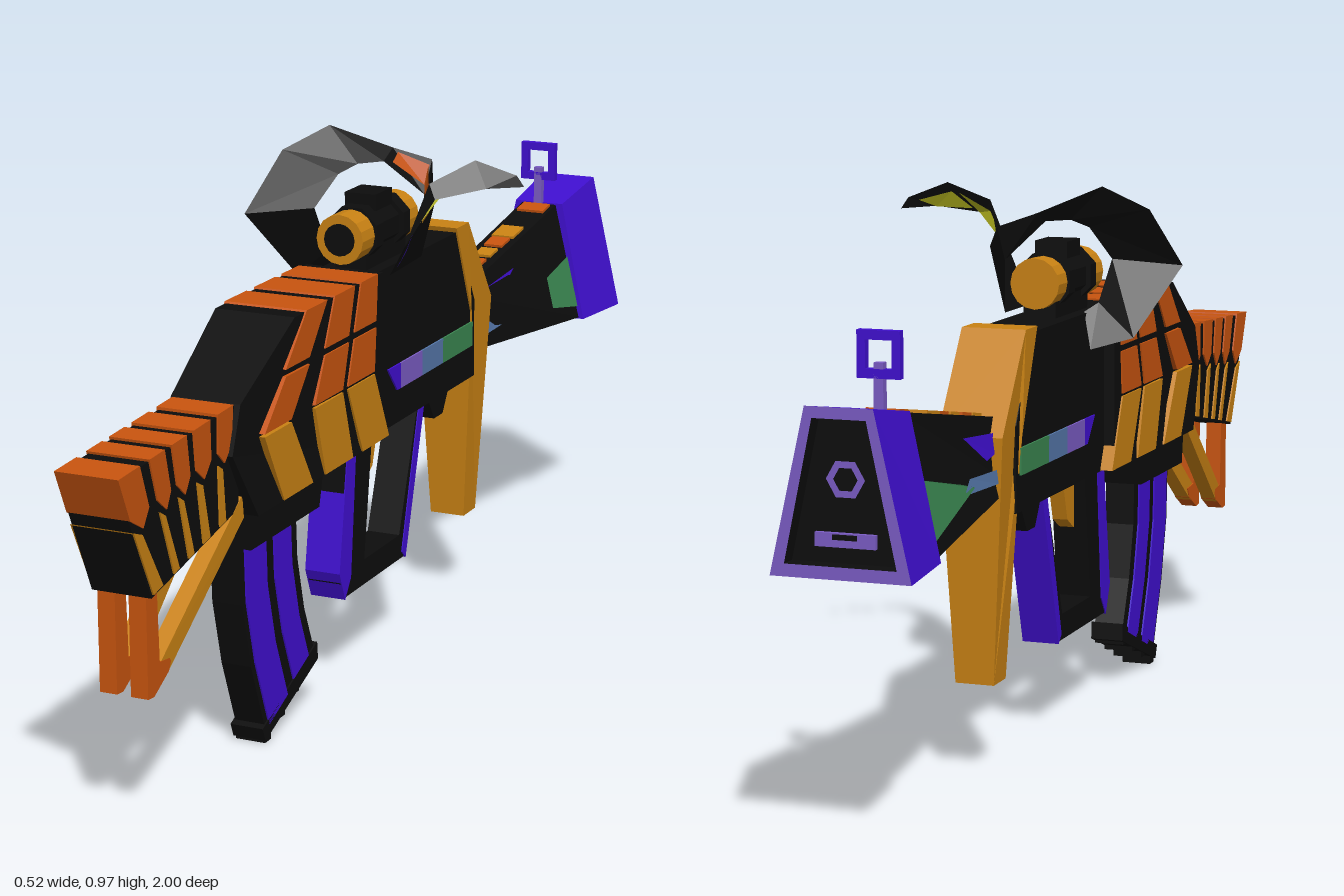
import * as THREE from 'three';

const CX = -0.055; // centre plane of the body
const mat = (name, color, side = THREE.FrontSide) => {
  const m = new THREE.MeshStandardMaterial({ color, side, flatShading: true });
  m.name = name;
  return m;
};

export function createModel() {
  const root = new THREE.Group();
  const D = THREE.DoubleSide;
  const black = mat('black', 0x0d0d0d, D), orange = mat('orange', 0xc8540f, D), gold = mat('gold', 0xc98214, D);
  const purple = mat('purple', 0x400fd0, D), lavender = mat('lavender', 0x7b5cc4, D), blue = mat('blue', 0x5577aa, D);
  const green = mat('green', 0x3a8650, D), yellow = mat('yellow', 0xbcbc20, D);

  const add = (name, geo, m, parent = root) => {
    const mesh = new THREE.Mesh(geo, m);
    mesh.name = name;
    parent.add(mesh);
    return mesh;
  };
  const toShape = (pts) => new THREE.Shape(pts.map((p) => new THREE.Vector2(p[0], p[1])));

  // Side profile given as (z, y), extruded to half width hw about cx; rule may move vertices
  const slab = (name, pts, hw, m, { cx = CX, hole, rule } = {}) => {
    const s = toShape(pts);
    if (hole) s.holes.push(new THREE.Path(hole.map((p) => new THREE.Vector2(p[0], p[1]))));
    const g = new THREE.ExtrudeGeometry(s, { depth: 2 * hw, bevelEnabled: false });
    g.translate(0, 0, -hw).rotateY(-Math.PI / 2);
    if (rule) {
      const p = g.attributes.position;
      for (let i = 0; i < p.count; i++) p.setX(i, rule(p.getX(i), p.getY(i), p.getZ(i)));
      g.computeVertexNormals();
    }
    g.translate(cx, 0, 0);
    return add(name, g, m);
  };
  const box = (name, w, h, d, x, y, z, m) => add(name, new THREE.BoxGeometry(w, h, d).translate(x, y, z), m);

  // Flat faces from quads of four points
  const quads = (name, list, m) => {
    const v = [];
    list.forEach(([a, b, c, d]) => v.push(...a, ...b, ...c, ...a, ...c, ...d));
    const g = new THREE.BufferGeometry();
    g.setAttribute('position', new THREE.Float32BufferAttribute(v, 3));
    g.computeVertexNormals();
    return add(name, g, m);
  };

  // Body: wide striped half and narrower plain half
  slab('frontBody', [[0.08, 0.45], [0.57, 0.45], [0.64, 0.57], [0.61, 0.65], [0.43, 0.755], [0.08, 0.755]], 0.074, black,
    { rule: (x, y, z) => (z > 0.6 ? x * 0.86 : x) });
  slab('rearBody', [[0.1, 0.45], [0.1, 0.748], [-0.3, 0.748], [-0.38, 0.6], [-0.38, 0.45]], 0.054, black);

  // Chevron stripes: [top, bend and bottom ranges in z]
  [[0.39, 0.31, 0.55, 0.45, 0.48, 0.37], [0.28, 0.2, 0.36, 0.25, 0.32, 0.21], [0.175, 0.106, 0.23, 0.12, 0.17, 0.06]]
    .forEach(([a, b, c, d, e, f]) => {
      const u = 0.5;
      const l = a + (c - a) * u, r = b + (d - b) * u;
      slab('upperStripe', [[a, 0.758], [b, 0.758], [r, 0.675], [l, 0.675]], 0.077, orange);
      slab('middleStripe', [[l, 0.663], [r, 0.663], [d, 0.585], [c, 0.585]], 0.077, orange);
      slab('lowerStripe', [[c, 0.58], [d, 0.58], [f, 0.452], [e, 0.452]], 0.077, gold);
    });

  // Coloured strip along the rear body
  const cuts = [0.02, -0.035, -0.13, -0.225, -0.3, -0.365];
  [purple, lavender, blue, green, green].forEach((m, i) => {
    const z0 = cuts[i], z1 = cuts[i + 1];
    slab('sideStrip', [[z0, 0.56], [z1, 0.56], [z1, 0.513], [i ? z0 : -0.02, 0.513]], 0.0575, m);
  });

  // Stock with fanned stripes
  slab('stock', [[0.6, 0.648], [0.998, 0.628], [0.9, 0.41], [0.6, 0.47]], 0.053, black);
  const fan = (t, v) => {
    const top = [0.62 + 0.38 * t, 0.652 - 0.02 * t], bot = [0.64 + 0.26 * t, 0.462 - 0.052 * t];
    return [top[0] + (bot[0] - top[0]) * v, top[1] + (bot[1] - top[1]) * v];
  };
  [[0, 0.14], [0.21, 0.36], [0.42, 0.55], [0.61, 0.74], [0.82, 1]].forEach(([a, b]) => {
    slab('stockUpperStripe', [fan(a, 0), fan(b, 0), fan(b, 0.34), fan((a + b) / 2, 0.46), fan(a, 0.34)], 0.056, orange);
    slab('stockLowerStripe', [fan((a + b) / 2 + 0.02, 0.5), fan(b, 0.44), fan(b - 0.02, 0.98), fan(a + 0.04, 0.98)], 0.056, gold);
  });

  // Paired struts under the stock
  [-1, 1].forEach((s) => {
    const cx = CX + s * 0.028;
    slab('strutLeg', [[0.9, 0.42], [0.865, 0.42], [0.86, 0.29], [0.82, 0.285], [0.83, 0.265], [0.88, 0.238], [0.9, 0.24]], 0.0155, orange, { cx });
    slab('strutArm', [[0.86, 0.285], [0.59, 0.49], [0.585, 0.45], [0.84, 0.258]], 0.0145, gold,
      { cx, rule: (x, y, z) => (z < 0.7 ? x + s * 0.012 : x) });
  });

  // Magazine, curved and ribbed
  slab('magazineWell', [[0.57, 0.46], [0.56, 0.385], [0.3, 0.385], [0.28, 0.46]], 0.054, black);
  const front = [[0.55, 0.4], [0.545, 0.28], [0.515, 0.16], [0.465, 0.03]];
  const back = [[0.34, 0.4], [0.335, 0.3], [0.31, 0.2], [0.272, 0.11]];
  const mix = (i, t) => front[i].map((v, k) => v + (back[i][k] - v) * t);
  const bow = (t0, t1) => [...[0, 1, 2, 3].map((i) => mix(i, t0)), ...[3, 2, 1, 0].map((i) => mix(i, t1))];
  slab('magazine', bow(0, 1), 0.028, black);
  [[0.06, 0.43], [0.57, 0.88]].forEach(([a, b]) => slab('magazinePanel', bow(a, b), 0.031, purple));
  slab('magazineBase', [[0.48, 0.035], [0.47, 0.01], [0.262, 0.09], [0.265, 0.122]], 0.031, black);
  for (let i = 0; i < 4; i++) {
    box('baseRidge', 0.056, 0.022, 0.022, CX, 0.015 + i * 0.025, 0.455 - i * 0.056, black);
  }

  // Grip frame with purple edges, trigger and small catch
  slab('gripFrame', [[0.145, 0.46], [0.17, 0.2], [0.15, 0.168], [-0.1, 0.168], [-0.19, 0.46]], 0.032, black,
    { hole: [[0.035, 0.445], [-0.165, 0.445], [-0.083, 0.215], [0.07, 0.215]] });
  slab('gripFrontEdge', [[0.14, 0.45], [0.178, 0.22], [0.155, 0.165], [0.13, 0.2], [0.105, 0.45]], 0.034, purple);
  slab('gripRearEdge', [[-0.195, 0.45], [-0.108, 0.165], [-0.092, 0.18], [-0.17, 0.45]], 0.034, purple);
  slab('trigger', [[0.03, 0.46], [-0.035, 0.46], [-0.005, 0.37], [0.03, 0.35]], 0.014, gold);
  slab('catch', [[-0.2, 0.455], [-0.31, 0.455], [-0.275, 0.4], [-0.235, 0.4]], 0.035, black);

  // Gold band running down into a tapered leg
  slab('goldBand', [[-0.285, 0.757], [-0.342, 0.757], [-0.455, 0.59], [-0.437, 0.165], [-0.38, 0.165], [-0.36, 0.58]], 0.0575, gold,
    { rule: (x, y) => (y < 0.3 ? x * 0.6 : x) });

  // Trapezoid loft: sections [z, yBottom, halfBottom, yTop, halfTop]
  const ring = ([z, yb, hb, yt, ht]) => [[CX - hb, yb, z], [CX + hb, yb, z], [CX + ht, yt, z], [CX - ht, yt, z]];
  const loft = (name, secs, m, caps = true) => {
    const r = secs.map(ring), list = [];
    for (let s = 0; s + 1 < r.length; s++) {
      for (let k = 0; k < 4; k++) list.push([r[s + 1][k], r[s + 1][(k + 1) % 4], r[s][(k + 1) % 4], r[s][k]]);
    }
    if (caps) list.push(r[0], [...r[r.length - 1]].reverse());
    return quads(name, list, m);
  };
  const b0 = [-0.36, 0.495, 0.04, 0.61, 0.032], b1 = [-0.845, 0.46, 0.09, 0.69, 0.036];
  loft('barrel', [b0, b1], black);

  // Coloured facets on both barrel sides, given as (z, height fraction)
  const onBarrel = (z, v, s) => {
    const t = (z - b0[0]) / (b1[0] - b0[0]);
    const [, yb, hb, yt, ht] = b0.map((a, i) => a + (b1[i] - a) * t);
    return [CX + s * (hb + (ht - hb) * v + 0.003), yb + (yt - yb) * v, z];
  };
  [['purpleFacet', purple, [[-0.45, 0.55], [-0.45, 0.8], [-0.6, 0.78], [-0.5, 0.5]]],
    ['blueFacet', blue, [[-0.45, 0.18], [-0.45, 0.35], [-0.6, 0.4], [-0.64, 0.28]]],
    ['greenFacet', green, [[-0.58, 0.3], [-0.64, 0.38], [-0.845, 0.55], [-0.845, 0.1]]]].forEach(([n, m, pts]) => {
    [-1, 1].forEach((s) => quads(n, [pts.map(([z, v]) => onBarrel(z, v, s))], m));
  });

  // Squares along the barrel top
  [[-0.81, 0.04, 0.056], [-0.675, 0.055, 0.046], [-0.62, 0.042, 0.038], [-0.565, 0.038, 0.034], [-0.51, 0.04, 0.032], [-0.46, 0.04, 0.03]]
    .forEach(([z, d, w], i) => {
      const y = 0.61 + 0.08 * (-0.36 - z) / 0.485;
      const tile = box('barrelTile', w, 0.008, d, 0, 0, 0, i % 2 ? gold : orange);
      tile.position.set(CX, y + 0.001, z);
      tile.rotation.x = 0.163;
    });

  // Flared muzzle with a recessed face
  const m0 = [-0.84, 0.458, 0.1, 0.692, 0.05], m1 = [-1, 0.455, 0.116, 0.718, 0.056];
  loft('muzzle', [m0, m1], purple, false);
  quads('muzzleBack', [ring(m0)], purple);
  const inner = [-1, 0.475, 0.092, 0.7, 0.044], deep = [-0.97, 0.475, 0.092, 0.7, 0.044];
  const o = ring(m1), n = ring(inner);
  quads('muzzleRim', [0, 1, 2, 3].map((k) => [o[k], n[k], n[(k + 1) % 4], o[(k + 1) % 4]]), lavender);
  loft('muzzleRecess', [deep, inner], black, false);
  quads('muzzleFace', [[...ring(deep)].reverse()], black);
  add('muzzleHexagon', new THREE.RingGeometry(0.02, 0.032, 6).translate(CX, 0.605, -0.976), lavender);
  box('muzzleSlot', 0.1, 0.022, 0.008, CX, 0.512, -0.976, lavender);
  box('slotGap', 0.04, 0.008, 0.008, CX, 0.517, -0.979, black);

  // Square ring sight on the muzzle
  const frame = toShape([[-0.036, 0.74], [0.036, 0.74], [0.036, 0.815], [-0.036, 0.815]]);
  frame.holes.push(toShape([[-0.022, 0.755], [0.022, 0.755], [0.022, 0.8], [-0.022, 0.8]]));
  add('ringSight', new THREE.ExtrudeGeometry(frame, { depth: 0.014, bevelEnabled: false }).translate(CX, 0, -0.845), purple);
  box('sightPost', 0.016, 0.09, 0.014, CX, 0.72, -0.838, lavender);

  // Scope
  const tube = (name, r, len, z, m, sides = 8) =>
    add(name, new THREE.CylinderGeometry(r, r, len, sides).rotateY(Math.PI / 8).rotateX(Math.PI / 2).translate(CX, 0.81, z), m);
  tube('scopeBody', 0.043, 0.16, -0.02, black);
  tube('scopeCollar', 0.052, 0.03, 0.035, black);
  tube('scopeRearCollar', 0.052, 0.03, -0.08, black);
  [[0.075, 0.101], [-0.115, -0.136]].forEach(([z, end]) => {
    tube('scopeEnd', 0.045, 0.05, z, gold, 16);
    tube('scopeLens', 0.029, 0.004, end, black, 16);
  });
  box('scopeTop', 0.06, 0.03, 0.07, CX, 0.862, -0.02, black);
  box('scopeMount', 0.06, 0.05, 0.17, CX, 0.765, -0.03, black);

  // Curling ribbons: rows of matching edge points
  const strip = (name, a, b, m) => quads(name, a.slice(1).map((p, i) => [a[i], p, b[i + 1], b[i]]), m);
  strip('broadCurl',
    [[-0.127, 0.687, -0.05], [-0.197, 0.707, -0.02], [-0.262, 0.83, 0.06], [-0.225, 0.935, -0.02], [-0.155, 0.977, -0.07], [-0.057, 0.933, -0.13]],
    [[-0.105, 0.75, -0.02], [-0.125, 0.765, 0], [-0.145, 0.842, 0.015], [-0.114, 0.9, -0.02], [-0.09, 0.915, -0.05], [-0.057, 0.915, -0.09]], black);
  const up = [[-0.057, 0.933, -0.13], [0.005, 0.91, -0.165], [0.073, 0.86, -0.02], [0.085, 0.845, 0.06], [0.125, 0.93, 0.12], [0.185, 0.965, 0.06], [0.25, 0.938, 0.03], [0.262, 0.918, 0.025]];
  const low = [[-0.057, 0.915, -0.09], [0, 0.85, -0.14], [0.022, 0.75, -0.08], [0.028, 0.748, 0.07], [0.09, 0.82, 0.145], [0.14, 0.905, 0.13], [0.212, 0.92, 0.075], [0.262, 0.918, 0.025]];
  strip('slimCurl', up, low, black);

  // Inset colour patches on the slim ribbon, offset along its normal
  const patch = (name, i, u0, u1, v0, v1, off, m) => {
    const at = (u, v) => {
      const e = (r) => new THREE.Vector3(...r[i]).lerp(new THREE.Vector3(...r[i + 1]), u);
      return e(up).lerp(e(low), v);
    };
    const c = [at(u0, v0), at(u1, v0), at(u1, v1), at(u0, v1)];
    const nrm = c[2].clone().sub(c[0]).cross(c[3].clone().sub(c[1])).normalize();
    if (nrm.z * off < 0) nrm.negate();
    quads(name, [c.map((p) => p.addScaledVector(nrm, Math.abs(off)).toArray())], m);
  };
  patch('orangePatch', 0, 0.15, 0.95, 0.2, 0.8, 0.005, orange);
  patch('orangePatch', 1, 0.05, 0.5, 0.15, 0.6, 0.005, orange);
  patch('goldPatch', 1, 0.6, 0.95, 0.2, 0.7, 0.005, gold);
  patch('purplePatch', 3, 0.2, 0.9, 0.65, 0.98, -0.005, purple);
  patch('yellowPatch', 4, 0.1, 0.9, 0.2, 0.8, -0.006, yellow);
  patch('yellowPatch', 5, 0.1, 0.9, 0.2, 0.8, -0.006, yellow);
  return root;
}
